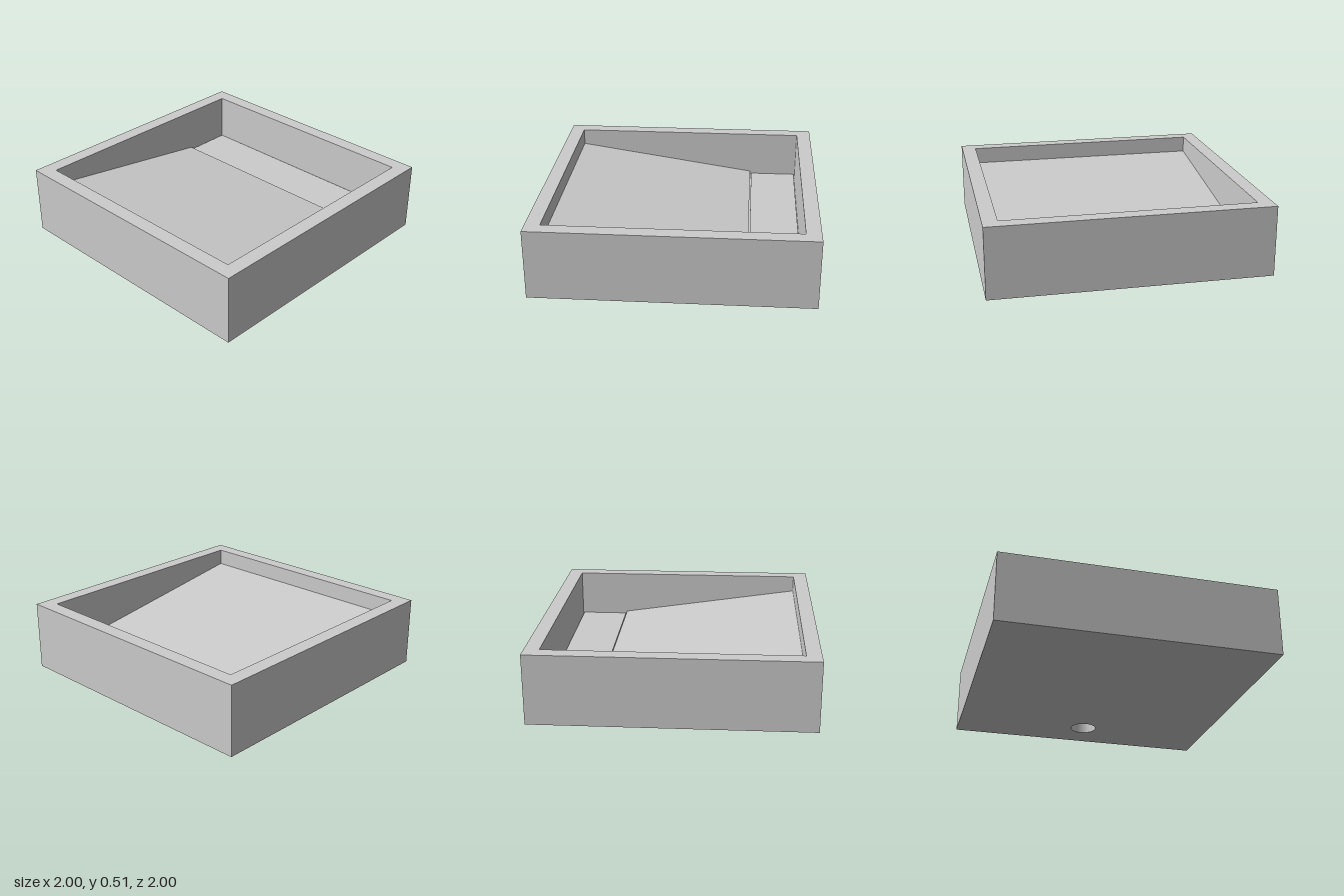
import * as THREE from 'three';

const H = 0.51;            // overall height
const IN = 0.893;          // half width of the basin opening
const FLOOR = 0.11;        // floor of the drain channel
const STEP_Z = -0.515;     // back edge of the ramp
const DRAIN = { x: 0, z: -0.705, r: 0.1 };

const material = new THREE.MeshStandardMaterial({ color: 0xcccccc, side: THREE.DoubleSide });
const flatMaterial = material.clone();
flatMaterial.flatShading = true;

function add(group, name, geometry, mat = flatMaterial) {
  const mesh = new THREE.Mesh(geometry, mat);
  mesh.name = name;
  group.add(mesh);
  return mesh;
}

function rectangle(Type, x0, y0, x1, y1) {
  const p = new Type();
  p.moveTo(x0, y0);
  p.lineTo(x1, y0);
  p.lineTo(x1, y1);
  p.lineTo(x0, y1);
  p.closePath();
  return p;
}

// Four upright walls around a square, open at top and bottom
function squareWalls(half, y0, y1) {
  const r = half * Math.SQRT2;
  return new THREE.CylinderGeometry(r, r, y1 - y0, 4, 1, true)
    .rotateY(Math.PI / 4)
    .translate(0, (y0 + y1) / 2, 0);
}

export function createModel() {
  const group = new THREE.Group();
  group.name = 'basin';

  // Outer and inner walls joined by the flat rim
  add(group, 'outerWalls', squareWalls(1, 0, H));
  add(group, 'innerWalls', squareWalls(IN, FLOOR, H));
  const rim = rectangle(THREE.Shape, -1, -1, 1, 1);
  rim.holes.push(rectangle(THREE.Path, -IN, -IN, IN, IN));
  add(group, 'rim', new THREE.ShapeGeometry(rim).rotateX(-Math.PI / 2).translate(0, H, 0));

  // Underside and channel floor, both pierced by the drain (shape y becomes z)
  const drainHole = () => new THREE.Path().absarc(DRAIN.x, DRAIN.z, DRAIN.r, 0, Math.PI * 2, true);
  const underside = rectangle(THREE.Shape, -1, -1, 1, 1);
  underside.holes.push(drainHole());
  add(group, 'underside', new THREE.ShapeGeometry(underside, 24).rotateX(Math.PI / 2));

  const channel = rectangle(THREE.Shape, -IN, -IN, IN, STEP_Z);
  channel.holes.push(drainHole());
  add(group, 'channelFloor', new THREE.ShapeGeometry(channel, 24).rotateX(Math.PI / 2).translate(0, FLOOR, 0));

  // Drain bore
  add(group, 'drainBore',
    new THREE.CylinderGeometry(DRAIN.r, DRAIN.r, FLOOR, 48, 1, true)
      .translate(DRAIN.x, FLOOR / 2, DRAIN.z), material);

  // Ramp falling from the front wall to the channel, side profile drawn as (-z, y)
  const profile = new THREE.Shape();
  profile.moveTo(-IN, FLOOR);
  profile.lineTo(-STEP_Z, FLOOR);
  profile.lineTo(-STEP_Z, 0.176);
  profile.lineTo(-IN, 0.387);
  profile.closePath();
  add(group, 'ramp',
    new THREE.ExtrudeGeometry(profile, { depth: IN * 2, bevelEnabled: false })
      .translate(0, 0, -IN)
      .rotateY(Math.PI / 2));

  // Loose plate covering the channel, with a narrow gap all round
  const gap = 0.01;
  const depth = STEP_Z + IN - gap * 2;
  add(group, 'drainCover', new THREE.BoxGeometry((IN - gap) * 2, 0.03, depth))
    .position.set(0, 0.147, (STEP_Z - IN) / 2);

  return group;
}
